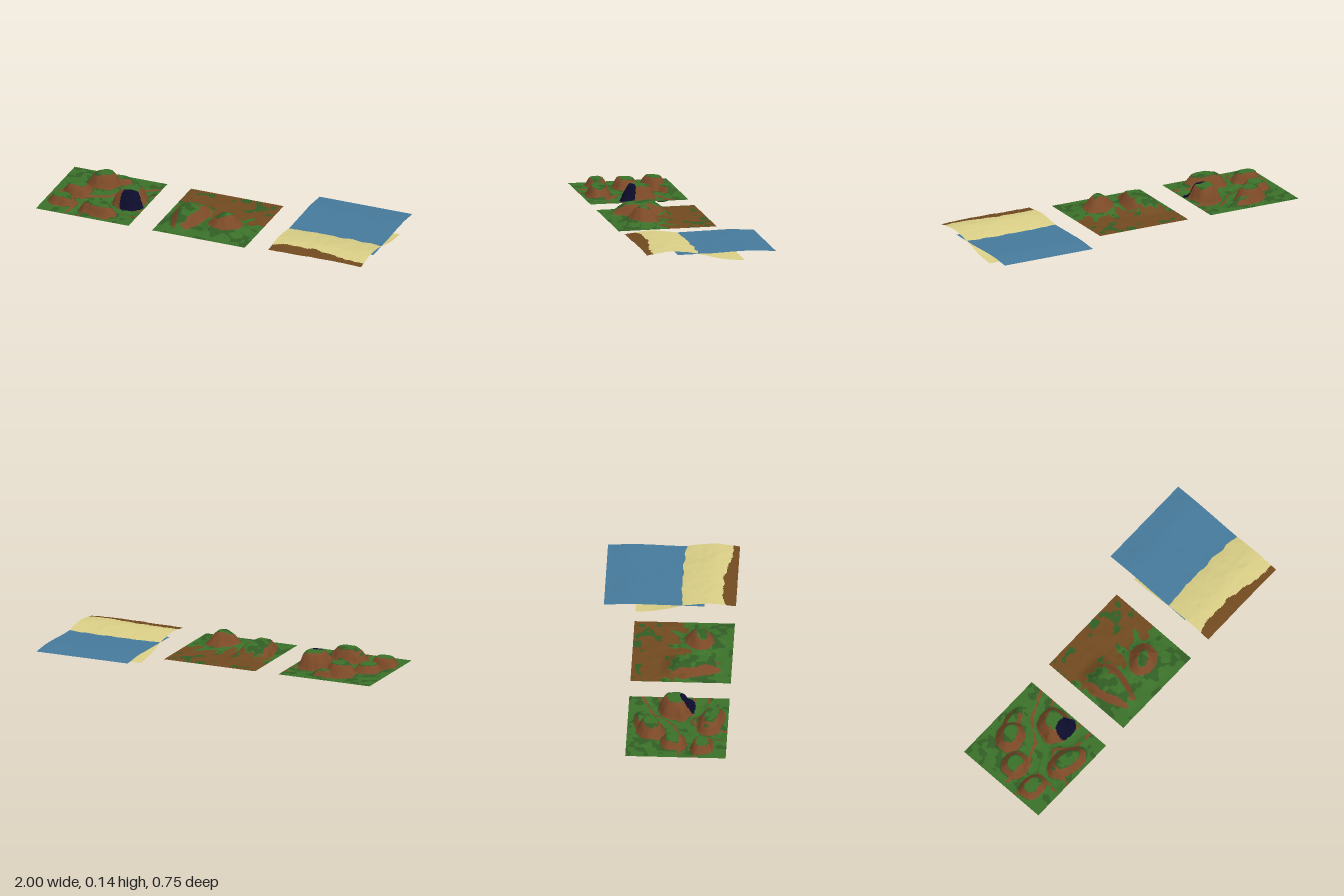
import * as THREE from 'three';

const SIZE = 0.57, GRID = 90, BASE = 0.045;
const { smoothstep, lerp } = THREE.MathUtils;

// Seeded smooth value noise in the range -1..1
function hash(i, j) {
  const s = Math.sin(i * 127.1 + j * 311.7) * 43758.5453;
  return (s - Math.floor(s)) * 2 - 1;
}
function noise(x, z) {
  const i = Math.floor(x), j = Math.floor(z);
  const u = smoothstep(x - i, 0, 1), v = smoothstep(z - j, 0, 1);
  return lerp(lerp(hash(i, j), hash(i + 1, j), u), lerp(hash(i, j + 1), hash(i + 1, j + 1), u), v);
}
const rough = (x, z) => noise(x * 16, z * 16) * 0.65 + noise(x * 37 + 9, z * 37) * 0.35;

// Rounded hill on an elliptical footprint; "flat" is the share of the radius kept level
function hill(x, z, [cx, cz, rx, rz, turn, height, flat]) {
  const c = Math.cos(turn), s = Math.sin(turn), dx = x - cx, dz = z - cz;
  const d = Math.hypot((dx * c + dz * s) / rx, (dz * c - dx * s) / rz);
  return height * (1 - smoothstep(d + 0.1 * rough(x + 5, z), flat, 1));
}

function pathDistance(x, z, points) {
  let best = 9;
  for (let k = 1; k < points.length; k++) {
    const [ax, az] = points[k - 1], bx = points[k][0] - ax, bz = points[k][1] - az;
    const t = THREE.MathUtils.clamp(((x - ax) * bx + (z - az) * bz) / (bx * bx + bz * bz), 0, 1);
    best = Math.min(best, Math.hypot(x - ax - bx * t, z - az - bz * t));
  }
  return best;
}

// Fades to 0 along the border of a tile
function border(x, z, cx, cz) {
  const d = SIZE / 2 - Math.max(Math.abs(x - cx), Math.abs(z - cz));
  return smoothstep(d, 0, 0.06);
}

const colors = {
  grass: 0x3a7029, darkGrass: 0x315c24, soil: 0x70491f, clay: 0x7d4a27,
  pit: 0x0c0c2c, sand: 0xd8cd85, water: 0x46799a,
};

// Builds a square sheet from a height rule, split into one mesh per ground cover
function sheet(name, cx, cz, height, cover) {
  const group = new THREE.Group();
  group.name = name;
  const position = [], normal = [], faces = {}, e = 0.003, n = GRID + 1;
  const slope = (x, z) => [
    (height(x + e, z) - height(x - e, z)) / (2 * e),
    (height(x, z + e) - height(x, z - e)) / (2 * e)];
  for (let j = 0; j < n; j++) for (let i = 0; i < n; i++) {
    const x = cx + (i / GRID - 0.5) * SIZE, z = cz + (j / GRID - 0.5) * SIZE;
    const [sx, sz] = slope(x, z), len = Math.hypot(sx, 1, sz);
    position.push(x, height(x, z), z);
    normal.push(-sx / len, 1 / len, -sz / len);
  }
  const addFace = (...corners) => {
    let x = 0, z = 0;
    for (const k of corners) { x += position[k * 3] / 3; z += position[k * 3 + 2] / 3; }
    const kind = cover(x, z, Math.hypot(...slope(x, z)));
    (faces[kind] ??= []).push(...corners);
  };
  for (let j = 0; j < GRID; j++) for (let i = 0; i < GRID; i++) {
    const a = j * n + i, b = a + 1, c = a + n, d = c + 1;
    addFace(a, c, b);
    addFace(b, c, d);
  }
  const positions = new THREE.Float32BufferAttribute(position, 3);
  const normals = new THREE.Float32BufferAttribute(normal, 3);
  for (const kind in faces) {
    const geometry = new THREE.BufferGeometry();
    geometry.setAttribute('position', positions);
    geometry.setAttribute('normal', normals);
    geometry.setIndex(faces[kind]);
    const mesh = new THREE.Mesh(geometry,
      new THREE.MeshStandardMaterial({ color: colors[kind], side: THREE.DoubleSide }));
    mesh.name = name + '_' + kind;
    group.add(mesh);
  }
  return group;
}

// Mesa tile: [x, z, radiusX, radiusZ, turn, height, flat]
const mesas = [
  [-0.76, -0.06, 0.105, 0.085, -0.3, 0.078, 0.4],
  [-0.69, -0.11, 0.12, 0.05, -0.3, 0.04, 0.3],
  [-0.865, 0.07, 0.095, 0.085, 0, 0.048, 0.45],
  [-0.9, 0.235, 0.1, 0.07, 0.15, 0.047, 0.45],
  [-0.65, 0.285, 0.14, 0.085, 0.25, 0.062, 0.4],
  [-0.535, 0.075, 0.115, 0.105, -0.4, 0.08, 0.45],
];
const paths = [
  [[-0.43, -0.07], [-0.56, -0.02], [-0.66, 0.11], [-0.8, 0.16], [-1, 0.15]],
  [[-0.68, 0.14], [-0.77, 0.22], [-0.79, 0.375]],
  [[-0.64, 0.12], [-0.54, 0.21], [-0.43, 0.22]],
];
const trackDistance = (x, z) => Math.min(...paths.map((p) => pathDistance(x, z, p))) + 0.008 * rough(x, z + 3);
function mesaHeight(x, z) {
  const fade = border(x, z, -0.715, 0.09);
  const top = Math.max(...mesas.map((m) => hill(x, z, m)));
  const dip = 0.016 * (1 - smoothstep(trackDistance(x, z), 0.01, 0.06)) * (1 - smoothstep(top, 0, 0.03));
  return BASE + fade * (top - dip + 0.004 * rough(x, z));
}
function mesaCover(x, z, slope) {
  const r = rough(x * 1.4, z * 1.4 + 7);
  if (Math.hypot((x + 0.51) / 0.068, (z - 0.14) / 0.042) + 0.2 * r < 1) return 'pit';
  const track = trackDistance(x, z);
  if (slope > 0.95 + 0.6 * r) return 'clay';
  if (track > 0.036 && track < 0.052 && r > -0.35) return 'clay';
  return r > 0.3 || slope > 0.55 ? 'darkGrass' : 'grass';
}

// Ridge tile: a tall round hill and a long ridge that narrows to the front
const peaks = [
  [0.085, 0.19, 0.13, 0.115, -0.3, 0.096, 0.08],
  [0.08, 0.2, 0.19, 0.16, 0.3, 0.035, 0.1],
];
function ridgeHeight(x, z) {
  const width = lerp(0.125, 0.05, smoothstep(z, 0.12, 0.34));
  const along = smoothstep(z, -0.04, 0.1) * (1 - smoothstep(z, 0.22, 0.35));
  const across = 1 - smoothstep(Math.abs(x + 0.15) / width, 0.3, 1);
  const top = Math.max(...peaks.map((p) => hill(x, z, p)), 0.063 * along * across);
  return BASE + border(x, z, 0, 0.09) * (top + 0.003 * rough(x, z) + 0.002);
}
function ridgeCover(x, z, slope) {
  const r = rough(x + 3, z * 1.2);
  const back = z + 0.14 * r + 0.25 * Math.max(0, -x - 0.12) < 0.045;
  if (back) return r > 0.42 ? 'darkGrass' : 'soil';
  if (slope > 0.75 + 0.5 * r) return 'clay';
  return r > 0.25 ? 'darkGrass' : 'grass';
}

// Beach tile: a cross-section from the sea bed up to the dune
const dune = [[-0.195, 0.005], [-0.1, 0.014], [-0.02, 0.03], [0.05, 0.05], [0.12, 0.065], [0.22, 0.077], [0.3, 0.073], [0.375, 0.061]];
const duneCurve = new THREE.SplineCurve(dune.map(([z, y]) => new THREE.Vector2(z, y))).getPoints(80);
function beachHeight(x, z) {
  let k = 1;
  while (k < duneCurve.length - 1 && duneCurve[k].x < z) k++;
  const a = duneCurve[k - 1], b = duneCurve[k];
  const y = lerp(a.y, b.y, (z - a.x) / (b.x - a.x));
  const bend = 0.003 * Math.cos((x - 0.75) * 8) * smoothstep(z, -0.1, 0.15);
  return Math.max(0, y + bend + 0.0028 * rough(x, z) * smoothstep(z, -0.195, 0.05));
}
function beachCover(x, z) {
  const edge = 0.315 + 0.022 * Math.sin((x - 0.8) * 9) + 0.012 * rough(x, 2.3);
  return z > edge ? 'soil' : 'sand';
}

// Water sheet with a slight swell, slipping under the beach
function waterHeight(x, z) {
  return 0.05 + 0.009 * smoothstep(z, -0.375, -0.24) - 0.005 * smoothstep(z, -0.2, 0.1)
    + 0.0016 * rough(x * 0.6, z * 0.9) * smoothstep(z, -0.375, -0.3);
}

export function createModel() {
  const model = new THREE.Group();
  model.name = 'terrainTiles';
  model.add(
    sheet('mesaTile', -0.715, 0.09, mesaHeight, mesaCover),
    sheet('ridgeTile', 0, 0.09, ridgeHeight, ridgeCover),
    sheet('beachTile', 0.715, 0.09, beachHeight, beachCover),
    sheet('waterSheet', 0.715, -0.09, waterHeight, () => 'water'));
  return model;
}
